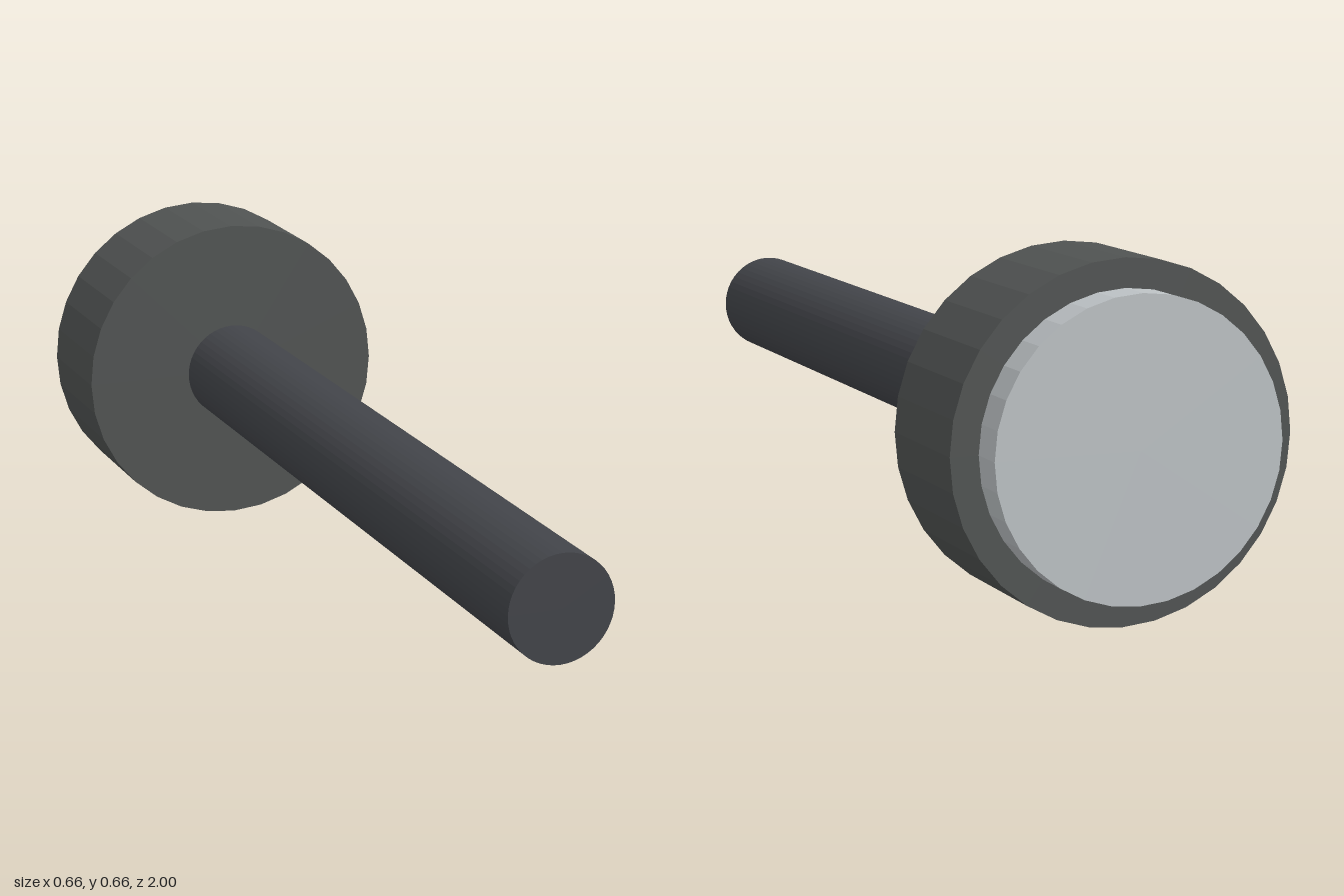
import * as THREE from 'three';

const AXIS_Y = 0.331; // height of the shared axis

// Faceted cylinder lying along z, from zBack to zFront
function disc(name, radius, zBack, zFront, sides, color) {
  const geometry = new THREE.CylinderGeometry(radius, radius, zFront - zBack, sides);
  geometry.rotateX(Math.PI / 2);
  const material = new THREE.MeshStandardMaterial({ color, flatShading: true });
  const mesh = new THREE.Mesh(geometry, material);
  mesh.name = name;
  mesh.position.set(0, AXIS_Y, (zBack + zFront) / 2);
  return mesh;
}

export function createModel() {
  const model = new THREE.Group();
  model.name = 'plungerButton';
  model.add(
    disc('rod', 0.104, -0.67, 1, 48, 0x424449),       // long slim shaft
    disc('head', 0.331, -0.93, -0.67, 32, 0x505352),  // wide collar
    disc('cap', 0.277, -1, -0.93, 32, 0xbcc1c4)       // pale raised face at the back
  );
  return model;
}
